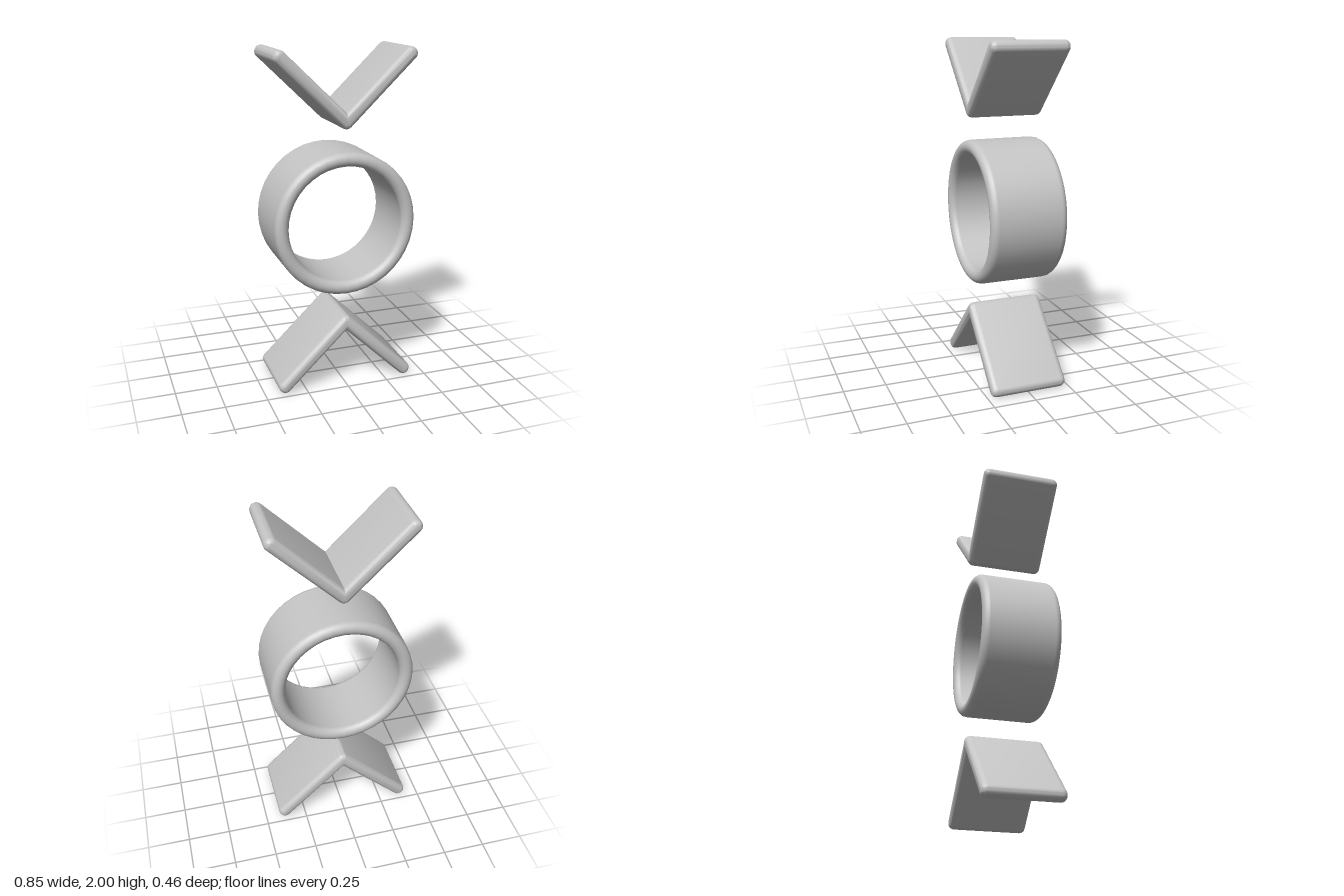
import * as THREE from 'three';
import { toCreasedNormals } from 'three/addons/utils/BufferGeometryUtils.js';

const HALF_DEPTH = 0.228;

// Bent plate: a thin round-ended chevron, swollen by a round bevel
function chevronGeometry() {
  const w = 0.01, bevel = 0.028;
  const apex = new THREE.Vector2(0, 0.404), end = new THREE.Vector2(0.378, 0.039);
  const d = end.clone().sub(apex).normalize();
  const a = Math.atan2(d.x, -d.y); // angle of the outer normal of the +x arm
  const shape = new THREE.Shape();
  shape.absarc(0, apex.y, w, Math.PI - a, a, true);
  shape.absarc(end.x, end.y, w, a, a - Math.PI, true);
  shape.lineTo(0, apex.y - w / d.x);
  shape.absarc(-end.x, end.y, w, 2 * Math.PI - a, Math.PI - a, true);
  const geo = new THREE.ExtrudeGeometry(shape, {
    depth: 2 * (HALF_DEPTH - 0.034), curveSegments: 8,
    bevelEnabled: true, bevelSize: bevel, bevelThickness: 0.034, bevelSegments: 6,
  });
  geo.translate(0, 0, -(HALF_DEPTH - 0.034));
  return toCreasedNormals(geo, 0.9);
}

// Wide band with fully rounded rims
function ringGeometry() {
  const r = 0.382, t = 0.041, straight = HALF_DEPTH - t, points = [new THREE.Vector2(r + t, 0)];
  for (const side of [0, 1]) {
    for (let i = 0; i <= 10; i++) {
      const angle = Math.PI * (side + i / 10);
      points.push(new THREE.Vector2(
        r + t * Math.cos(angle), (side ? -straight : straight) + t * Math.sin(angle)));
    }
  }
  points.push(points[0].clone());
  return new THREE.LatheGeometry(points, 40).rotateX(Math.PI / 2);
}

export function createModel() {
  const grey = new THREE.MeshStandardMaterial({ color: 0xc4c4c4 });
  grey.name = 'light grey';
  const model = new THREE.Group();
  model.name = 'ringAndChevrons';

  const add = (name, geometry, y) => {
    const mesh = new THREE.Mesh(geometry, grey);
    mesh.name = name;
    mesh.position.y = y;
    model.add(mesh);
    return mesh;
  };

  const chevron = chevronGeometry();
  add('lowerChevron', chevron, 0);
  add('ring', ringGeometry(), 1.004);
  add('upperChevron', chevron, 2).rotation.z = Math.PI;
  return model;
}
